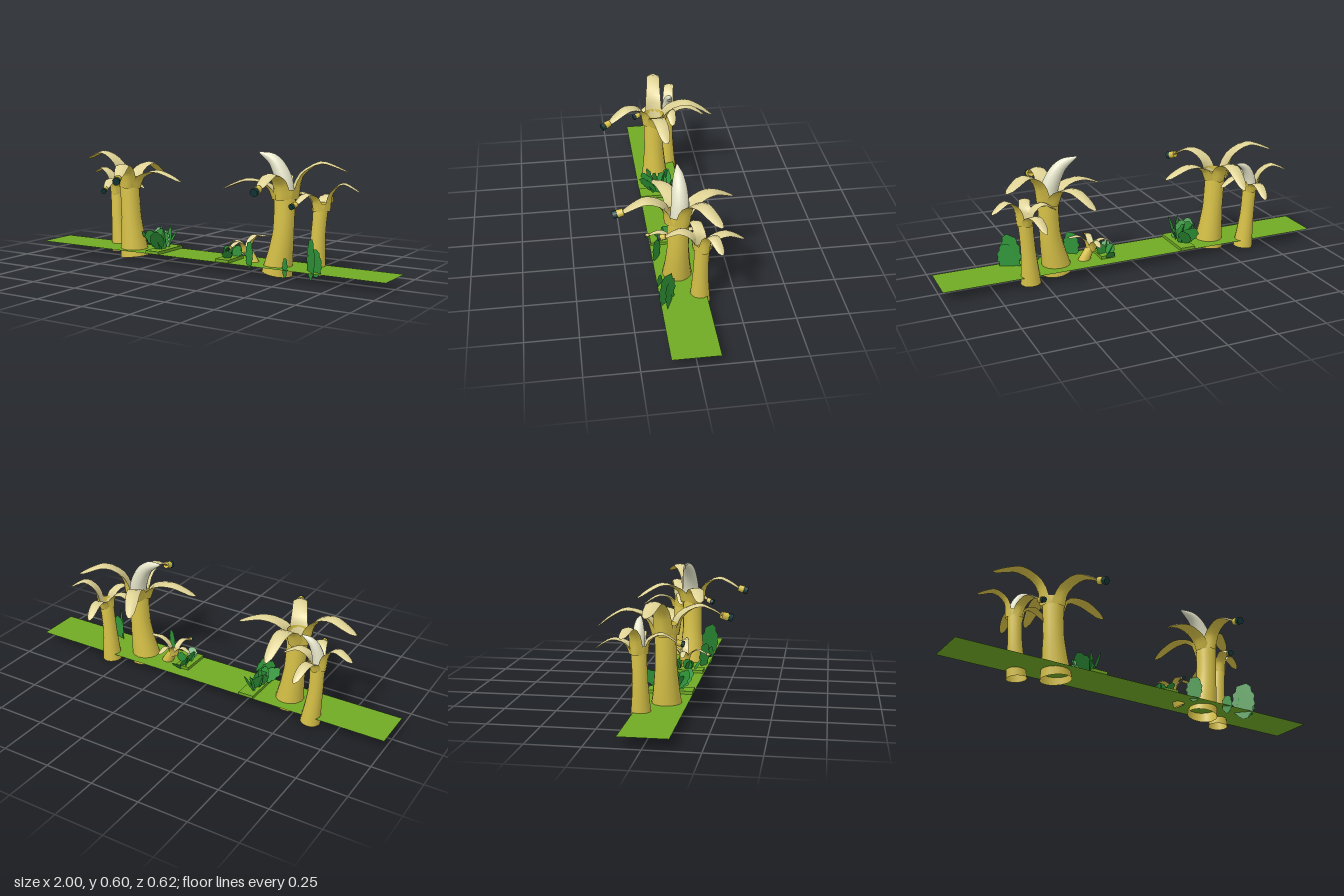
import * as THREE from 'three';

const V = (x, y, z) => new THREE.Vector3(x, y, z);
const UP = V(0, 1, 0);

export function createModel() {
  const model = new THREE.Group();
  const paint = (name, color, side = THREE.FrontSide) => {
    const m = new THREE.MeshStandardMaterial({ color, side });
    m.name = name;
    return m;
  };
  const yellow = paint('yellow skin', 0xd9c348, THREE.DoubleSide);
  const cream = paint('cream inner skin', 0xded294);
  const flesh = paint('pale flesh', 0xe6e6cb, THREE.DoubleSide);
  const grass = paint('grass green', 0x70aa25, THREE.DoubleSide);
  const leafGreen = paint('leaf green', 0x2f9438, THREE.DoubleSide);
  const dark = paint('dark tip', 0x14393b);

  const add = (parent, name, geometry, material) => {
    const mesh = new THREE.Mesh(geometry, material);
    mesh.name = name;
    parent.add(mesh);
    return mesh;
  };

  // Tube along a curve, with its radius interpolated from a short list
  function taperedTube(points, radii, sides = 14) {
    const curve = new THREE.CatmullRomCurve3(points);
    const steps = 16;
    const geo = new THREE.TubeGeometry(curve, steps, 1, sides);
    const pos = geo.attributes.position;
    const p = V(0, 0, 0);
    for (let i = 0; i <= steps; i++) {
      const c = curve.getPointAt(i / steps);
      const f = (i / steps) * (radii.length - 1);
      const k = Math.min(Math.floor(f), radii.length - 2);
      const r = THREE.MathUtils.lerp(radii[k], radii[k + 1], f - k);
      for (let j = 0; j <= sides; j++) {
        const n = i * (sides + 1) + j;
        p.fromBufferAttribute(pos, n).sub(c).multiplyScalar(r).add(c);
        pos.setXYZ(n, p.x, p.y, p.z);
      }
    }
    return geo;
  }

  // One face of a peel: a curved strip, cupped across its width
  function peelFace(curve, side, widthAt, outer) {
    const steps = 12, across = 4, pos = [], idx = [];
    for (let i = 0; i <= steps; i++) {
      const t = i / steps;
      const c = curve.getPoint(t), w = widthAt(t);
      const normal = side.clone().cross(curve.getTangent(t)).normalize();
      for (let j = 0; j <= across; j++) {
        const s = (j / across) * 2 - 1;
        const cup = w * (THREE.MathUtils.lerp(0.5, -0.3, Math.min(1, t * 2)) * s * s);
        const depth = outer ? cup - w * 0.4 * (1 - s * s) : cup;
        const p = c.clone().addScaledVector(side, w * s).addScaledVector(normal, depth);
        pos.push(p.x, p.y, p.z);
        if (i < steps && j < across) {
          const a = i * (across + 1) + j, b = a + 1, d = a + across + 1, e = d + 1;
          if (outer) idx.push(a, d, b, b, d, e);
          else idx.push(a, b, d, b, e, d);
        }
      }
    }
    const geo = new THREE.BufferGeometry();
    geo.setAttribute('position', new THREE.Float32BufferAttribute(pos, 3));
    geo.setIndex(idx);
    geo.computeVertexNormals();
    return geo;
  }

  // Peel arching from the trunk rim over its apex to the tip
  function peel(tree, top, r, tip, apex, size, stem) {
    const out = V(tip.x - top.x, 0, tip.z - top.z);
    const length = out.length();
    out.normalize();
    const side = out.clone().cross(UP);
    const at = (d, y) => V(top.x + out.x * d, y, top.z + out.z * d);
    const start = top.y - 0.05 * size;
    const curve = new THREE.CatmullRomCurve3([
      at(r * 0.85, start),
      at(Math.max(r, length * 0.25), THREE.MathUtils.lerp(start, apex, 0.65)),
      at(length * 0.55, apex),
      at(length * 0.8, THREE.MathUtils.lerp(apex, tip.y, 0.4)),
      tip,
    ]);
    const widthAt = (t) => t < 0.35
      ? THREE.MathUtils.lerp(r * 0.85, 0.036 * size, t / 0.35)
      : size * (0.007 + 0.029 * Math.sqrt(1 - ((t - 0.35) / 0.65) ** 2));
    add(tree, 'peelInside', peelFace(curve, side, widthAt, false), cream);
    add(tree, 'peelOutside', peelFace(curve, side, widthAt, true), yellow);
    if (stem) {
      // Cut stem left on the end of the peel
      const dir = out.clone().addScaledVector(UP, -0.3).normalize();
      [[0.03, 0.0, yellow, 'stem'], [0.02, 0.026, dark, 'stemTip']].forEach(([len, off, mat, name]) => {
        const m = add(tree, name, new THREE.CylinderGeometry(0.02 * size, 0.018 * size, len * size, 8), mat);
        m.quaternion.setFromUnitVectors(UP, dir);
        m.position.copy(tip).addScaledVector(dir, off * size);
      });
    }
  }

  // Hollow trunk with a ring of peels; each peel is [x, y, z, apex, stem]
  function bananaTree(name, trunk, radii, size, peels) {
    const tree = new THREE.Group();
    tree.name = name;
    model.add(tree);
    add(tree, 'trunk', taperedTube(trunk, radii), yellow);
    const top = trunk[trunk.length - 1];
    const r = radii[radii.length - 1];
    peels.forEach(([x, y, z, apex, stem]) => peel(tree, top, r, V(x, y, z), apex, size, stem));
    return tree;
  }

  const tallRadii = [0.077, 0.062, 0.052, 0.051, 0.055];
  const smallRadii = [0.05, 0.042, 0.036, 0.035, 0.038];

  bananaTree('tallTreeRight', [V(-0.45, 0.005, 0.015), V(-0.47, 0.2, 0.015), V(-0.482, 0.42, 0.015)], tallRadii, 1, [
    [-0.79, 0.50, -0.02, 0.55], [-0.18, 0.41, -0.02, 0.465],
    [-0.475, 0.40, -0.30, 0.49], [-0.365, 0.44, 0.27, 0.505, true],
  ]);
  const tallLeft = bananaTree('tallTreeLeft', [V(0.4, 0.005, 0.01), V(0.43, 0.2, 0.01), V(0.438, 0.42, 0.01)], tallRadii, 1, [
    [0.69, 0.50, -0.15, 0.55], [0.14, 0.41, 0.09, 0.465],
    [0.30, 0.40, -0.27, 0.475], [0.435, 0.44, 0.275, 0.505, true],
  ]);
  const smallRight = bananaTree('smallTreeRight', [V(-0.61, 0.005, -0.075), V(-0.628, 0.18, -0.075), V(-0.635, 0.35, -0.08)], smallRadii, 0.75, [
    [-0.82, 0.415, -0.12, 0.45], [-0.46, 0.35, -0.09, 0.40],
    [-0.61, 0.325, -0.28, 0.38], [-0.585, 0.355, 0.09, 0.405, true],
  ]);
  bananaTree('smallTreeLeft', [V(0.565, 0.005, -0.077), V(0.573, 0.18, -0.077), V(0.585, 0.35, -0.08)], smallRadii, 0.75, [
    [0.76, 0.405, -0.14, 0.45], [0.42, 0.35, -0.05, 0.40],
    [0.545, 0.325, -0.28, 0.38], [0.53, 0.355, 0.09, 0.405, true],
  ]);
  // Leaning seedling
  bananaTree('seedling', [V(0.265, 0.03, 0), V(0.245, 0.07, 0), V(0.22, 0.11, 0)], [0.03, 0.025, 0.022], 0.45, [
    [0.35, 0.18, -0.01, 0.18], [0.12, 0.12, 0.0, 0.145],
    [0.225, 0.15, -0.13, 0.165], [0.20, 0.125, 0.125, 0.15, true],
  ]);

  // Exposed fruit
  add(tallLeft, 'fruit', taperedTube(
    [V(0.44, 0.36, 0.005), V(0.425, 0.46, 0), V(0.37, 0.55, -0.002), V(0.29, 0.585, -0.004)],
    [0.044, 0.044, 0.042, 0.036, 0.024, 0.004]), flesh);
  add(smallRight, 'fruit', taperedTube(
    [V(-0.64, 0.31, -0.08), V(-0.632, 0.38, -0.08), V(-0.60, 0.44, -0.083), V(-0.55, 0.465, -0.086)],
    [0.028, 0.03, 0.028, 0.024, 0.016, 0.003]), flesh);

  // Ground strip and raised turf patches
  const ground = add(model, 'ground', new THREE.PlaneGeometry(2, 0.222), grass);
  ground.rotation.x = -Math.PI / 2;
  ground.position.set(0, 0.045, 0.005);
  [[-0.27, 0.08, 0.005, 0.222], [0.145, 0.075, 0.035, 0.15]].forEach(([x, w, z, d]) => {
    add(model, 'turfPatch', new THREE.BoxGeometry(w, 0.015, d), grass).position.set(x, 0.053, z);
  });

  // Ragged leaf standing on its base
  const leafShape = new THREE.Shape([
    [0, 0], [0.2, 0.04], [0.3, 0.16], [0.42, 0.2], [0.4, 0.34], [0.5, 0.42], [0.44, 0.55], [0.48, 0.66],
    [0.34, 0.78], [0.32, 0.9], [0.12, 1], [-0.1, 0.96], [-0.3, 0.92], [-0.34, 0.76], [-0.46, 0.7],
    [-0.42, 0.54], [-0.5, 0.44], [-0.38, 0.34], [-0.4, 0.2], [-0.2, 0.08],
  ].map(([x, y]) => new THREE.Vector2(x, y)));
  const leafGeometry = new THREE.ShapeGeometry(leafShape);
  function leaf(x, y, z, width, length, yaw, tilt, lean) {
    const m = add(model, 'leaf', leafGeometry, leafGreen);
    m.position.set(x, y, z);
    m.scale.set(width, length, 1);
    m.rotation.set(tilt, yaw, lean, 'YXZ');
  }

  // Broad bush: leaves fanned along z and leaning outward
  for (let i = 0; i < 9; i++) {
    const f = i / 4 - 1;
    leaf(-0.28 + (i % 3) * 0.012, 0.06, f * 0.045, 0.075, 0.10 + (i % 3) * 0.022,
      (i % 2 ? 0.8 : -0.6) + f * 0.3, f * 0.55, 0.25 + (i % 3) * 0.3);
  }
  // Low bush
  for (let i = 0; i < 7; i++) {
    const f = i / 3 - 1;
    leaf(0.14 + (i % 2) * 0.012, 0.055, f * 0.06, 0.055, 0.065, i * 1.1, f * 0.7, i % 2 ? 0.5 : -0.3);
  }
  // Single leaves along the front edge
  leaf(0.61, 0.005, 0.08, 0.125, 0.2, -0.8, 0, -0.05);
  leaf(0.63, 0.02, 0.07, 0.10, 0.14, -0.4, 0.1, -0.1);
  leaf(0.285, 0.03, 0.09, 0.085, 0.135, -0.6, 0, -0.1);
  leaf(0.485, 0.005, 0.1, 0.055, 0.1, -0.6, 0, -0.1);

  return model;
}
